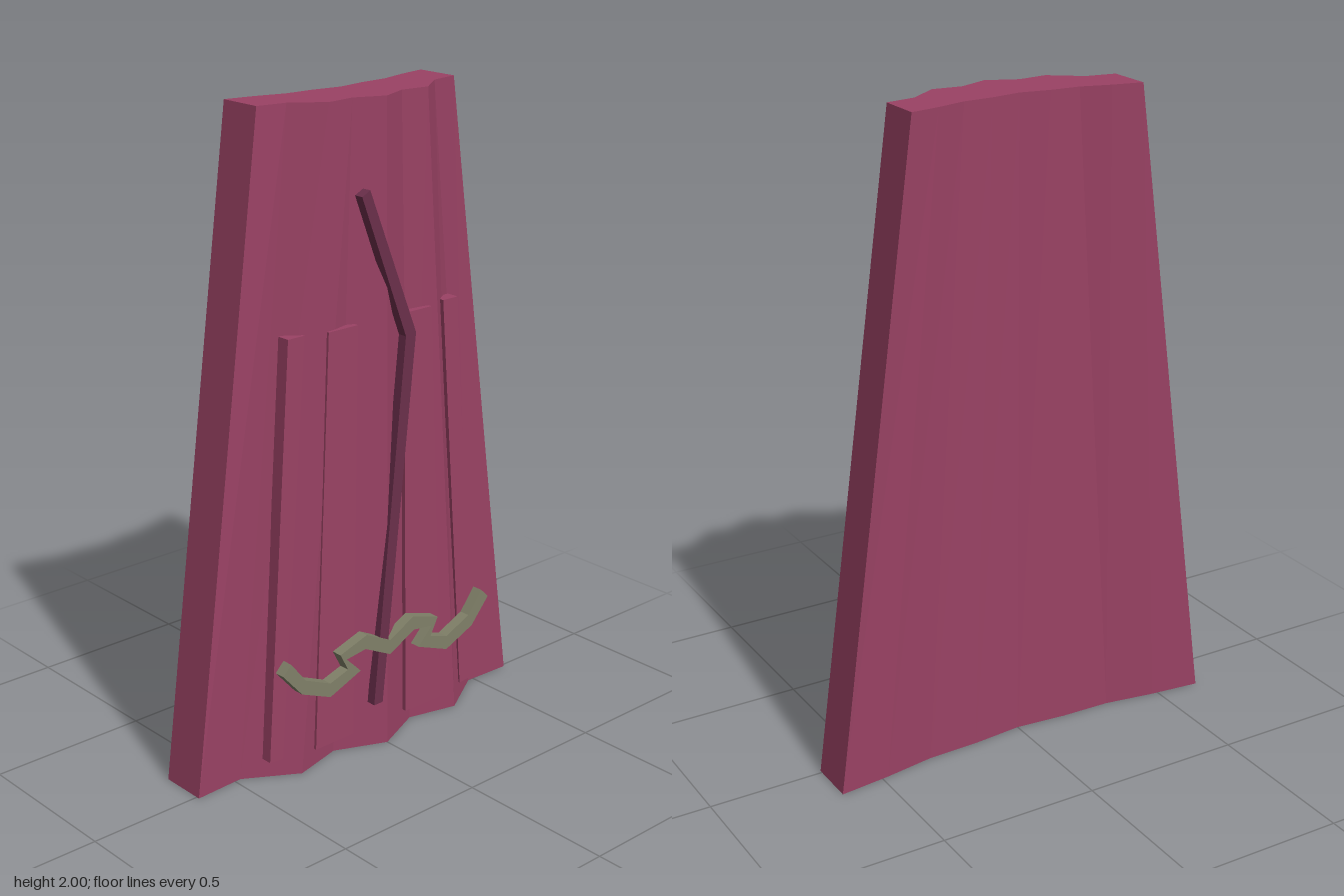
import * as THREE from 'three';

const cloth = new THREE.MeshStandardMaterial({ color: 0x9a4264, flatShading: true });
const seamMat = new THREE.MeshStandardMaterial({ color: 0x6b2f4b, flatShading: true });
const trimMat = new THREE.MeshStandardMaterial({ color: 0x808068, flatShading: true });

// Flat plate from an outline in x/y, spanning z0..z1
function plate(name, points, z0, z1, material) {
  const shape = new THREE.Shape(points.map(([x, y]) => new THREE.Vector2(x, y)));
  const geometry = new THREE.ExtrudeGeometry(shape, { depth: z1 - z0, bevelEnabled: false });
  geometry.translate(0, 0, z0);
  const mesh = new THREE.Mesh(geometry, material);
  mesh.name = name;
  return mesh;
}

// Tapered cloth slab: fold depths run from the centre line to the outer edge
function drape() {
  const frontTop = [0.115, 0.075, 0.085, 0.015, 0];
  const frontBottom = [0.13, 0.06, 0.1, 0.003, 0.01];
  const back = [-0.077, -0.092, -0.096, -0.122, -0.14];
  const geometry = new THREE.BoxGeometry(8, 2, 1, 8, 1, 1);
  const p = geometry.attributes.position;
  for (let i = 0; i < p.count; i++) {
    const column = Math.round(p.getX(i));
    const top = p.getY(i) > 0;
    const depths = p.getZ(i) < 0 ? back : top ? frontTop : frontBottom;
    p.setXYZ(i, column * (top ? 0.0925 : 0.16), top ? 2 : 0, depths[Math.abs(column)]);
  }
  const flat = geometry.toNonIndexed();
  flat.computeVertexNormals();
  const mesh = new THREE.Mesh(flat, cloth);
  mesh.name = 'drape';
  return mesh;
}

export function createModel() {
  const group = new THREE.Group();
  group.name = 'cape';
  group.add(drape());

  // Raised fold strips, mirrored left and right
  for (const [side, s] of [['left', 1], ['right', -1]]) {
    const mirror = (points) => points.map(([x, y]) => [x * s, y]);
    group.add(plate(side + 'InnerFold',
      mirror([[0.11, 0.055], [0.26, 0.055], [0.2, 1.355], [0.09, 1.355]]), 0.06, 0.095, cloth));
    group.add(plate(side + 'OuterFold',
      mirror([[0.37, 0.055], [0.42, 0.06], [0.33, 1.355], [0.27, 1.355]]), 0.03, 0.072, cloth));
  }

  // Bent seam down the middle
  group.add(plate('seam', [
    [-0.11, 1.735], [0.06, 1.3], [-0.06, 0.15], [-0.025, 0.15], [0.1, 1.305], [-0.08, 1.75],
  ], 0.105, 0.135, seamMat));

  // Wavy trim: lower and upper edges of one half, mirrored into a full outline
  const lower = [[0, 0.305], [0.1, 0.355], [0.175, 0.345], [0.12, 0.29], [0.24, 0.243], [0.35, 0.29], [0.42, 0.37]];
  const upper = [[0.39, 0.4], [0.335, 0.33], [0.24, 0.288], [0.17, 0.31], [0.2, 0.367], [0.095, 0.4]];
  const half = [...lower, ...upper];
  const mirrored = half.slice(1).reverse().map(([x, y]) => [-x, y]);
  group.add(plate('waveTrim', [...half, [0, 0.352], ...mirrored], 0.105, 0.14, trimMat));

  return group;
}
